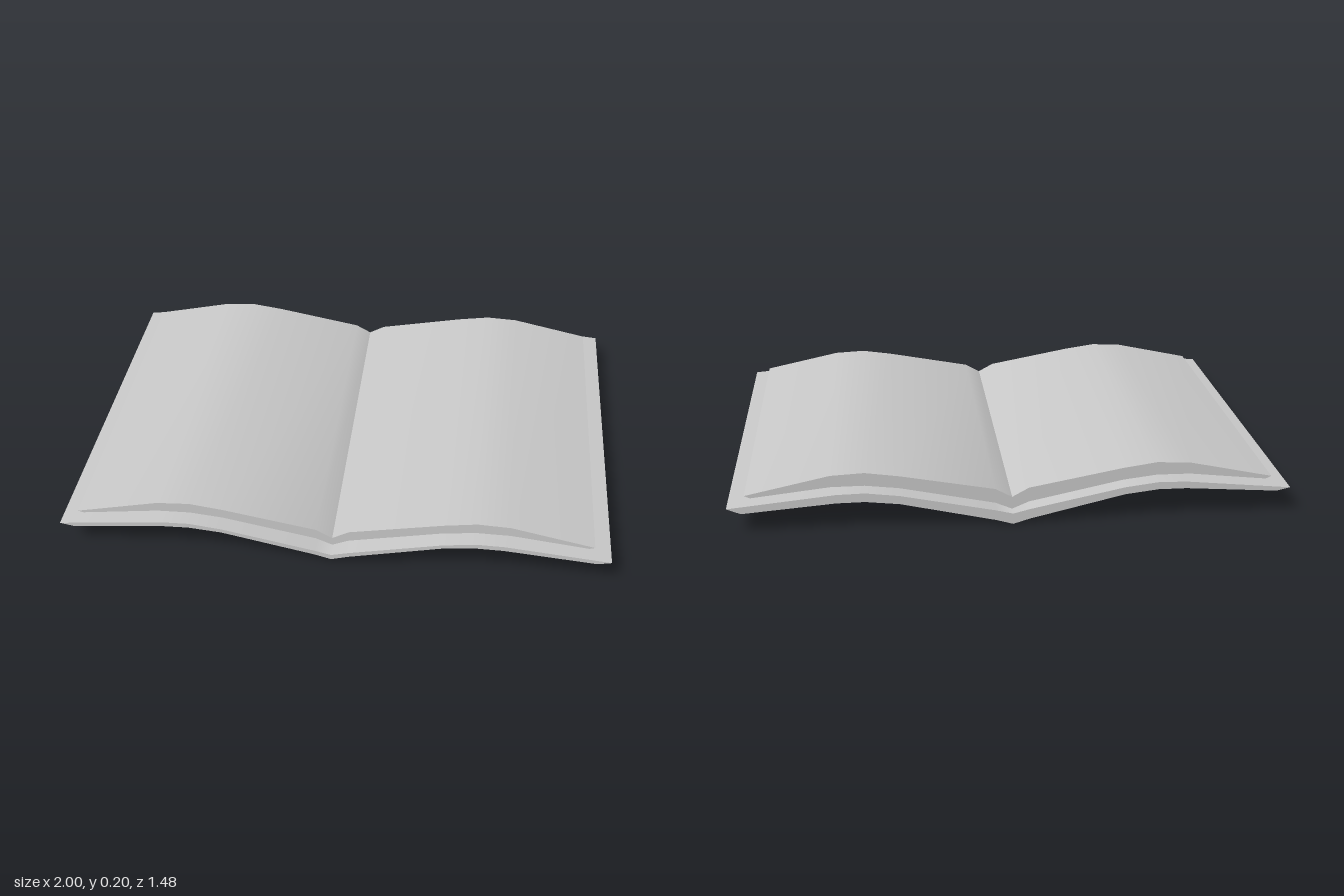
import * as THREE from 'three';
import { toCreasedNormals } from 'three/addons/utils/BufferGeometryUtils.js';

// Mirror half a profile, spine outwards, into a full one running left to right
function mirror(half) {
  const left = half.slice(1).reverse().map(([x, y]) => [-x, y]);
  return [...left, ...half];
}

// Slab between an upper and a lower profile; the underside sinks by drop(x) at the back
function slab(name, topHalf, bottomHalf, halfDepth, drop) {
  const top = mirror(topHalf), bottom = mirror(bottomHalf), n = top.length;
  const positions = [], index = [];
  for (const [x, y] of top) positions.push(x, y, halfDepth, x, y, -halfDepth);
  for (const [x, y] of bottom) positions.push(x, y, halfDepth, x, y - drop(x), -halfDepth);
  const T = (i, back) => 2 * i + back, B = (i, back) => 2 * (n + i) + back;
  const quad = (a, b, c, d) => index.push(a, b, c, a, c, d);
  for (let i = 0; i < n - 1; i++) {
    quad(T(i, 0), T(i + 1, 0), T(i + 1, 1), T(i, 1)); // upper face
    quad(B(i, 1), B(i + 1, 1), B(i + 1, 0), B(i, 0)); // underside
    quad(B(i, 0), B(i + 1, 0), T(i + 1, 0), T(i, 0)); // front edge
    quad(B(i + 1, 1), B(i, 1), T(i, 1), T(i + 1, 1)); // back edge
  }
  const e = n - 1;
  quad(B(e, 0), B(e, 1), T(e, 1), T(e, 0)); // outer edges
  quad(B(0, 1), B(0, 0), T(0, 0), T(0, 1));
  const geometry = new THREE.BufferGeometry();
  geometry.setAttribute('position', new THREE.Float32BufferAttribute(positions, 3));
  geometry.setIndex(index);
  const material = new THREE.MeshStandardMaterial({ color: 0xcccccc });
  const mesh = new THREE.Mesh(toCreasedNormals(geometry, 0.5), material);
  mesh.name = name;
  return mesh;
}

export function createModel() {
  const book = new THREE.Group();
  book.name = 'openBook';

  // Cover: thin bent board, its underside twisting slightly down to the back
  book.add(slab('cover',
    [[0, 0.04], [0.06, 0.055], [0.4, 0.125], [0.52, 0.14], [0.62, 0.138], [1, 0.1]],
    [[0, 0.02], [0.06, 0.037], [0.4, 0.11], [0.52, 0.122], [0.62, 0.12], [0.95, 0.09]],
    0.74, (x) => (x < 0 ? 0.02 * (1 + x) : 0.02 - 0.01 * x)));

  // Pages: arched block that thins towards its outer edges
  book.add(slab('pages',
    [[0, 0.087], [0.06, 0.12], [0.4, 0.183], [0.52, 0.2], [0.64, 0.194], [0.94, 0.13]],
    [[0, 0.055], [0.06, 0.08], [0.4, 0.147], [0.52, 0.16], [0.64, 0.158], [0.92, 0.124]],
    0.7, (x) => 0.014 * (1 - 0.8 * Math.abs(x))));

  return book;
}
